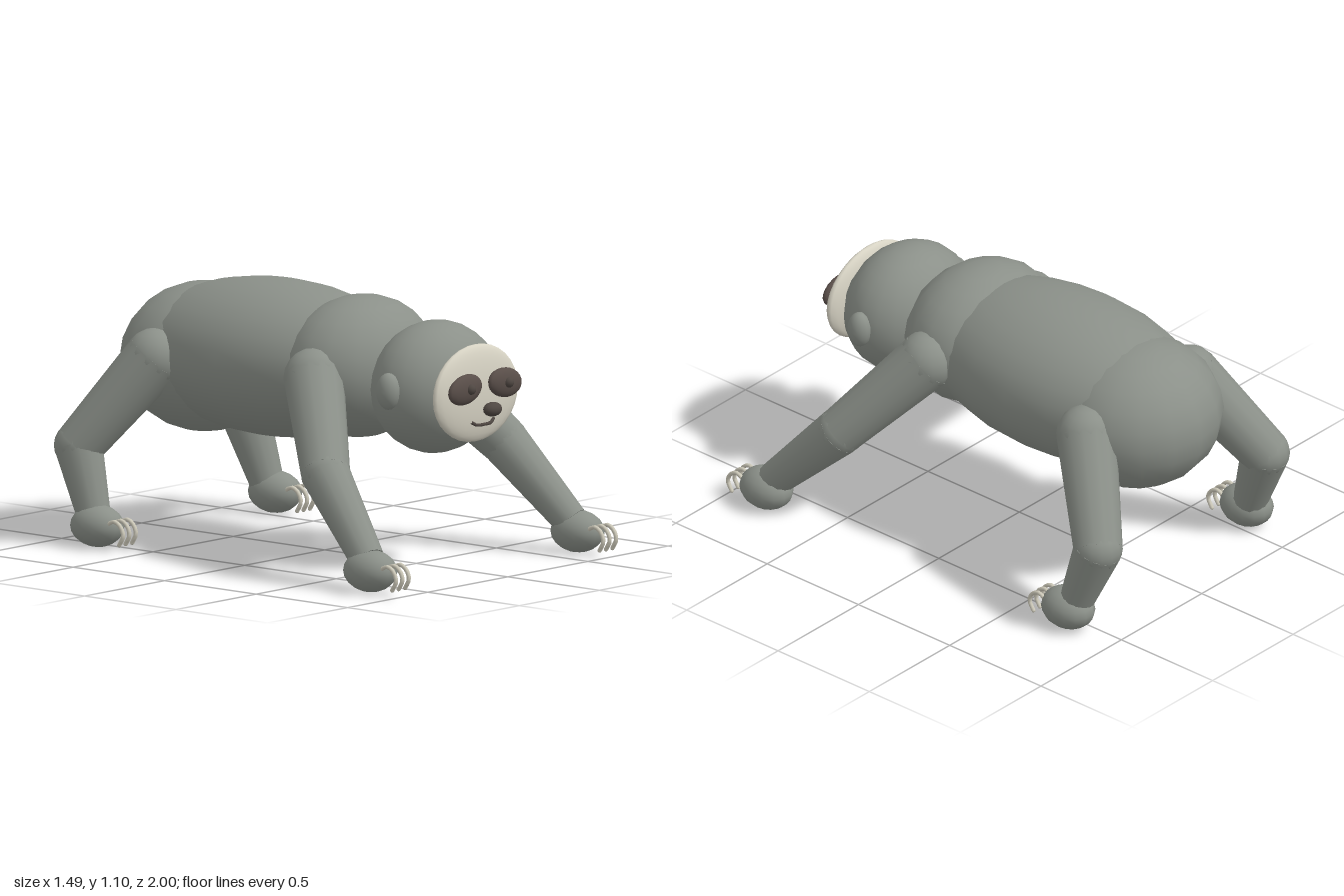
import * as THREE from 'three';

const V = (x, y, z) => new THREE.Vector3(x, y, z);

export function createModel() {
  const model = new THREE.Group();
  model.name = 'sloth';

  const material = (name, color) => {
    const m = new THREE.MeshStandardMaterial({ color });
    m.name = name;
    return m;
  };
  const fur = material('grey fur', 0x8b9089);
  const cream = material('cream face', 0xd6d2c3);
  const claw = material('claw ivory', 0xd0ccbc);
  const patch = material('dark eye patch', 0x594e49);
  const dark = material('dark features', 0x4f4742);

  const add = (parent, name, geometry, mat) => {
    const mesh = new THREE.Mesh(geometry, mat);
    mesh.name = name;
    parent.add(mesh);
    return mesh;
  };

  // Ellipsoid given by centre and radii
  const blob = (parent, name, mat, center, radii, segs = 16, rings = 12) => {
    const mesh = add(parent, name, new THREE.SphereGeometry(1, segs, rings), mat);
    mesh.position.set(...center);
    mesh.scale.set(...radii);
    return mesh;
  };

  // Tapered limb segment from a to b
  const segment = (parent, name, a, b, ra, rb) => {
    const d = b.clone().sub(a);
    const mesh = add(parent, name, new THREE.CylinderGeometry(rb, ra, d.length(), 14), fur);
    mesh.position.copy(a).addScaledVector(d, 0.5);
    mesh.quaternion.setFromUnitVectors(V(0, 1, 0), d.normalize());
  };

  // Trunk
  blob(model, 'belly', fur, [0, 0.78, -0.26], [0.395, 0.325, 0.7], 20, 14);
  blob(model, 'chest', fur, [0, 0.795, 0.2], [0.36, 0.295, 0.29]);
  blob(model, 'rump', fur, [0, 0.74, -0.65], [0.36, 0.31, 0.35]);

  // Head and face
  const head = new THREE.Group();
  head.name = 'head';
  model.add(head);
  blob(head, 'skull', fur, [0, 0.753, 0.605], [0.302, 0.275, 0.24], 20, 14);
  blob(head, 'faceDisc', cream, [0, 0.75, 0.822], [0.26, 0.203, 0.047], 24, 16);
  blob(head, 'nose', dark, [0, 0.692, 0.917], [0.047, 0.03, 0.033], 14, 10);
  for (const s of [-1, 1]) {
    blob(head, 'ear', fur, [s * 0.3, 0.77, 0.61], [0.048, 0.077, 0.053], 14, 10);
    const p = blob(head, 'eyePatch', patch, [s * 0.124, 0.784, 0.875], [0.101, 0.062, 0.03]);
    p.rotation.z = -s * 0.14;
    blob(head, 'eye', dark, [s * 0.118, 0.787, 0.902], [0.022, 0.022, 0.022], 12, 8);
  }
  const smile = new THREE.CatmullRomCurve3([
    V(-0.07, 0.64, 0.861), V(-0.045, 0.626, 0.868), V(0, 0.624, 0.871),
    V(0.045, 0.626, 0.868), V(0.07, 0.64, 0.861)]);
  add(head, 'mouth', new THREE.TubeGeometry(smile, 12, 0.007, 6), dark);

  // Limbs: root, joint, wrist and paw centre for the left side, mirrored for the right
  const limbs = [
    { name: 'foreLimb', root: [0.32, 0.785, 0.22], joint: [0.555, 0.445, 0.49],
      wrist: [0.635, 0.13, 0.79], paw: [0.647, 0.09, 0.815] },
    { name: 'hindLimb', root: [0.32, 0.77, -0.65], joint: [0.52, 0.405, -0.89],
      wrist: [0.54, 0.13, -0.79], paw: [0.555, 0.09, -0.757] },
  ];
  for (const limb of limbs) {
    for (const s of [-1, 1]) {
      const g = new THREE.Group();
      g.name = (s > 0 ? 'left ' : 'right ') + limb.name;
      model.add(g);
      const at = ([x, y, z]) => V(s * x, y, z);
      const [a, b, c, p] = [limb.root, limb.joint, limb.wrist, limb.paw].map(at);
      blob(g, 'rootJoint', fur, a.toArray(), [0.125, 0.125, 0.125], 14, 10);
      segment(g, 'upperLimb', a, b, 0.125, 0.102);
      blob(g, 'middleJoint', fur, b.toArray(), [0.102, 0.102, 0.102], 14, 10);
      segment(g, 'lowerLimb', b, c, 0.102, 0.072);
      blob(g, 'paw', fur, p.toArray(), [0.098, 0.088, 0.122], 14, 10);

      // Three hooked claws
      for (const i of [-1, 0, 1]) {
        const x = p.x + i * 0.04;
        const hook = new THREE.CatmullRomCurve3([
          V(x, 0.1, p.z + 0.08), V(x, 0.125, p.z + 0.125), V(x, 0.108, p.z + 0.16),
          V(x, 0.07, p.z + 0.176), V(x, 0.03, p.z + 0.155)]);
        add(g, 'claw', new THREE.TubeGeometry(hook, 10, 0.009, 6), claw);
        blob(g, 'clawTip', claw, [x, 0.03, p.z + 0.155], [0.009, 0.009, 0.009], 6, 5);
      }
    }
  }
  return model;
}
